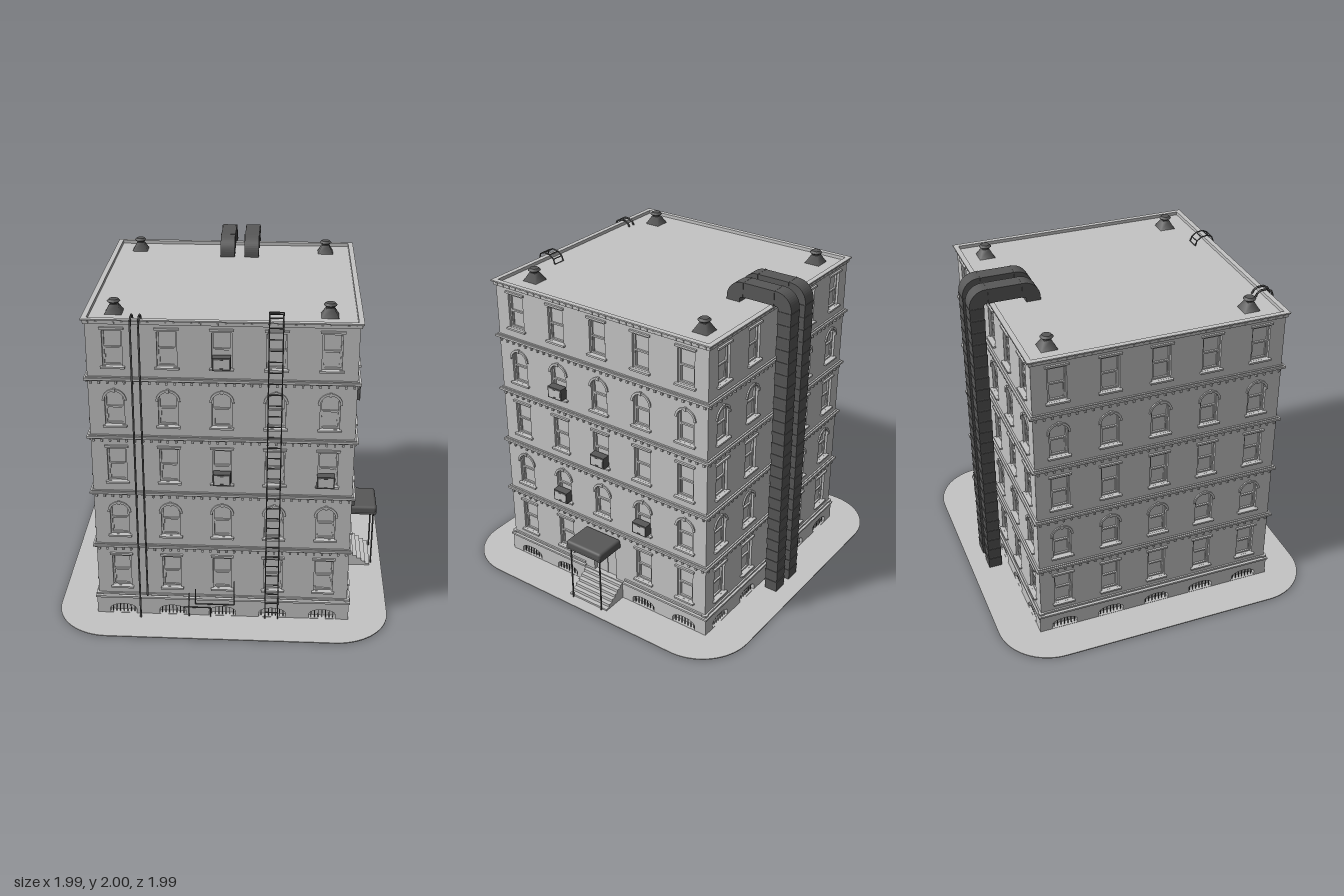
import * as THREE from 'three';
import { mergeGeometries } from 'three/addons/utils/BufferGeometryUtils.js';
import { RoundedBoxGeometry } from 'three/addons/geometries/RoundedBoxGeometry.js';

const W = 0.745;            // half width of the walls
const FLOOR = 0.3565;       // storey height
const COLUMNS = [-0.6, -0.3, 0, 0.3, 0.6];

const box = (w, h, d, x, y, z) => new THREE.BoxGeometry(w, h, d).translate(x, y, z);
const extrude = (shape, depth, z = 0, curveSegments = 10) =>
  new THREE.ExtrudeGeometry(shape, { depth, bevelEnabled: false, curveSegments }).translate(0, 0, z);
const tube = (points, r) => {
  const path = new THREE.CurvePath();
  for (let i = 1; i < points.length; i++)
    path.add(new THREE.LineCurve3(new THREE.Vector3(...points[i - 1]), new THREE.Vector3(...points[i])));
  return mergeGeometries(path.curves.map(c => new THREE.TubeGeometry(c, 1, r, 6)));
};

// Outline of an opening: rectangle, or rectangle with an arched head
function opening(T, x, y0, y1, w, rise = 0) {
  const s = new T();
  s.moveTo(x - w / 2, y0);
  s.lineTo(x + w / 2, y0);
  s.lineTo(x + w / 2, y1 - rise);
  if (rise) s.absellipse(x, y1 - rise, w / 2, rise, 0, Math.PI, false);
  else s.lineTo(x - w / 2, y1);
  s.closePath();
  return s;
}

function rect(x0, y0, x1, y1) {
  const s = new THREE.Shape();
  s.moveTo(x0, y0); s.lineTo(x1, y0); s.lineTo(x1, y1); s.lineTo(x0, y1); s.closePath();
  return s;
}

export function createModel() {
  const model = new THREE.Group();
  const concrete = new THREE.MeshStandardMaterial({ color: 0xc4c4c4, side: THREE.DoubleSide });
  concrete.name = 'concrete grey';
  const metal = new THREE.MeshStandardMaterial({ color: 0x585858, side: THREE.DoubleSide });
  metal.name = 'dark metal';

  const add = (name, geos, material, parent = model) => {
    const flat = geos.map(g => (g.index ? g.toNonIndexed() : g));
    const mesh = new THREE.Mesh(mergeGeometries(flat), material);
    mesh.name = name;
    parent.add(mesh);
    return mesh;
  };

  // One facade, built facing +z and turned into place
  function facade(name, angle, hasDoor) {
    const side = new THREE.Group();
    side.name = name;
    side.rotation.y = angle;
    model.add(side);
    const wall = rect(-W, 0, W, 1.88), plinth = rect(-0.757, 0, 0.757, 0.118);
    const panes = [], frames = [], trim = [], bars = [], bands = [], dentils = [];

    for (const x of COLUMNS) {
      // basement arches with bars
      if (!(hasDoor && x === 0)) {
        wall.holes.push(opening(THREE.Path, x, 0.008, 0.07, 0.16, 0.035));
        plinth.holes.push(opening(THREE.Path, x, 0.008, 0.07, 0.16, 0.035));
        panes.push(box(0.18, 0.08, 0.004, x, 0.042, 0.718));
        for (let i = -3; i <= 3; i++) {
          const h = 0.062 - Math.abs(i) * 0.004;
          bars.push(box(0.005, h, 0.005, x + i * 0.022, 0.008 + h / 2, 0.742));
        }
      }
      for (let f = 0; f < 5; f++) {
        if (hasDoor && x === 0 && f === 0) {
          wall.holes.push(opening(THREE.Path, 0, 0.115, 0.375, 0.17));
          panes.push(box(0.19, 0.27, 0.004, 0, 0.245, 0.718));
          frames.push(box(0.008, 0.26, 0.006, 0, 0.245, 0.722), box(0.17, 0.008, 0.006, 0, 0.32, 0.722));
          continue;
        }
        const y = 0.197 + f * FLOOR, arched = f % 2 === 1;
        wall.holes.push(opening(THREE.Path, x, y, y + 0.205, 0.11, arched ? 0.055 : 0));
        panes.push(box(0.125, 0.22, 0.004, x, y + 0.1025, 0.718));
        // sashes: tall outer frame, mid rail and lower sash
        for (const s of [-1, 1]) {
          frames.push(box(0.009, 0.2, 0.012, x + s * 0.05, y + 0.1, 0.725));
          frames.push(box(0.006, 0.1, 0.006, x + s * 0.042, y + 0.05, 0.723));
        }
        frames.push(box(0.1, 0.01, 0.012, x, y + 0.105, 0.725));
        frames.push(box(0.1, 0.009, 0.012, x, y + 0.005, 0.725));
        // sill and head
        trim.push(box(0.135, 0.011, 0.03, x, y - 0.006, W + 0.003));
        if (arched) {
          const ring = new THREE.Shape();
          ring.absarc(x, y + 0.15, 0.069, 0, Math.PI, false);
          ring.absarc(x, y + 0.15, 0.056, Math.PI, 0, true);
          trim.push(extrude(ring, 0.008, W));
          trim.push(box(0.014, 0.022, 0.014, x, y + 0.213, W + 0.005));
        } else trim.push(box(0.135, 0.012, 0.022, x, y + 0.222, W + 0.001));
      }
    }

    // storey bands with dentils
    for (let f = 1; f <= 4; f++) {
      const y = 0.122 + f * FLOOR;
      bands.push(box(1.53, 0.013, 0.035, 0, y, 0.7475), box(1.51, 0.026, 0.025, 0, y, 0.7425));
    }
    for (let f = 1; f <= 5; f++)
      for (let i = 0; i < 32; i++)
        dentils.push(box(0.012, 0.014, 0.014, -0.728 + i * 1.456 / 31, 0.1 + f * FLOOR - (f === 5 ? 0.004 : 0), W + 0.006));
    // base mouldings, parted at the entrance
    const runs = hasDoor ? [[-0.765, -0.15], [0.15, 0.765]] : [[-0.765, 0.765]];
    for (const [a, b] of runs) {
      bands.push(box(b - a, 0.012, 0.035, (a + b) / 2, 0.122, 0.7475));
      bands.push(box(b - a - 0.01, 0.012, 0.025, (a + b) / 2, 0.141, 0.7425));
    }
    // cornice, forming the low parapet
    bands.push(box(1.53, 0.008, 0.03, 0, 1.896, 0.75), box(1.51, 0.025, 0.02, 0, 1.882, 0.745));

    add('wall', [extrude(wall, 0.025, W - 0.025)], concrete, side);
    add('plinth', [extrude(plinth, 0.012, W)], concrete, side);
    add('windowPanes', panes, concrete, side);
    add('windowFrames', frames, concrete, side);
    add('windowTrim', trim, concrete, side);
    add('storeyBands', bands, concrete, side);
    add('dentils', dentils, concrete, side);
    add('basementBars', bars, metal, side);
    return side;
  }

  const front = facade('frontFacade', 0, false);
  const right = facade('entranceFacade', Math.PI / 2, true);
  facade('backFacade', Math.PI, false);
  facade('sideFacade', -Math.PI / 2, false);

  // Air conditioners: dark case with a pale grille panel
  function airConditioner(parent, x, y) {
    add('airConditionerCase', [box(0.1, 0.072, 0.05, x, y, 0.763)], metal, parent);
    add('airConditionerPanel', [box(0.084, 0.056, 0.004, x, y, 0.788)], concrete, parent);
    add('airConditionerClips', [-1, 1].map(s => box(0.02, 0.005, 0.004, x, y + s * 0.025, 0.791)), metal, parent);
  }
  [[0, 1.662], [0, 0.95], [0.59, 0.95]].forEach(p => airConditioner(front, ...p));
  [[-0.3, 1.308], [0, 0.952], [-0.3, 0.595], [0.3, 0.595]].forEach(p => airConditioner(right, ...p));

  // Pavement ring, open under the building
  const pave = new THREE.Shape(), c = 0.67, r = 0.325;
  [[c, c], [-c, c], [-c, -c], [c, -c]].forEach(([x, y], i) =>
    pave.absarc(x, y, r, i * Math.PI / 2, (i + 1) * Math.PI / 2, false));
  pave.holes.push(opening(THREE.Path, 0, -0.72, 0.72, 1.44));
  add('pavement', [extrude(pave, 0.006, 0, 12).rotateX(-Math.PI / 2)], concrete);

  add('roof', [box(1.48, 0.012, 1.48, 0, 1.874, 0)], concrete);

  // Roof vents: tapered base, neck and cap
  for (const x of [-0.605, 0.585]) for (const z of [-0.605, 0.585]) {
    const base = new THREE.CylinderGeometry(0.03, 0.068, 0.05, 4).rotateY(Math.PI / 4).translate(x, 1.905, z);
    const neck = new THREE.CylinderGeometry(0.02, 0.02, 0.02, 12).translate(x, 1.935, z);
    const cap = new THREE.CylinderGeometry(0.026, 0.038, 0.012, 12).translate(x, 1.951, z);
    const rim = new THREE.CylinderGeometry(0.038, 0.028, 0.008, 12).translate(x, 1.941, z);
    add('roofVent', [base, neck, rim, cap], metal);
  }

  // Twin ventilation ducts up the back and over the roof edge
  const duct = new THREE.Shape();
  duct.moveTo(0.803, 0); duct.lineTo(0.882, 0);
  duct.absarc(0.785, 1.9, 0.1, 0, Math.PI / 2, false);
  duct.absarc(0.568, 1.9, 0.1, Math.PI / 2, Math.PI, false);
  duct.lineTo(0.468, 1.87); duct.lineTo(0.553, 1.87); duct.lineTo(0.553, 1.9);
  duct.quadraticCurveTo(0.555, 1.913, 0.575, 1.913);
  duct.lineTo(0.78, 1.913);
  duct.quadraticCurveTo(0.803, 1.913, 0.803, 1.89);
  duct.closePath();
  for (const x of [-0.036, 0.116]) {
    const parts = [extrude(duct, 0.09, -0.045, 6).rotateY(Math.PI / 2).translate(x, 0, 0)];
    for (let i = 0; i < 25; i++) // flared sections
      parts.push(new THREE.CylinderGeometry(0.0685, 0.063, 0.074, 4).rotateY(Math.PI / 4)
        .scale(1, 1, 0.9).translate(x, 0.04 + i * 0.0755, -0.843));
    for (const z of [-0.77, -0.57]) parts.push(box(0.097, 0.09, 0.01, x, 1.956, z));
    const mesh = add('ventilationDuct', parts, metal);
    mesh.geometry.computeVertexNormals();
  }

  // Ladder hooked over the front roof edge
  const ladder = [];
  const hook = [[0.772, 0], [0.772, 1.89], [0.76, 1.925], [0.73, 1.938], [0.69, 1.932], [0.66, 1.91], [0.65, 1.88]];
  for (const x of [0.257, 0.333]) ladder.push(tube(hook.map(([z, y]) => [x, y, z]), 0.004));
  for (let y = 0.05; y < 1.9; y += 0.065) ladder.push(tube([[0.257, y, 0.772], [0.333, y, 0.772]], 0.0035));
  for (const [z, y] of hook.slice(2)) ladder.push(tube([[0.257, y, z], [0.333, y, z]], 0.0035));
  add('ladder', ladder, metal);

  // Cable pipes on the front, bent over the roof edge
  for (const [x, y0] of [[-0.49, 0], [-0.445, 0.16]])
    add('wallPipe', [tube([[x, y0, 0.797], [x, 1.87, 0.797], [x, 1.9, 0.785], [x, 1.917, 0.755],
      [x, 1.915, 0.72], [x, 1.9, 0.695], [x, 1.875, 0.685]], 0.006)], metal);

  // Small service pipes near the ground
  add('servicePipes', [
    [[-0.2, 0], [-0.2, 0.17]],
    [[-0.16, 0.2], [-0.16, 0.095], [0.07, 0.095], [0.07, 0.26]],
    [[-0.235, 0.07], [-0.07, 0.07], [-0.07, 0]],
  ].map(line => tube(line.map(([x, y]) => [x, y, 0.772]), 0.0035)), metal);

  // Entrance steps, canopy and posts
  const steps = [];
  for (let i = 0; i < 6; i++) {
    const h = 0.112 - i * 0.019, x1 = 0.78 + i * 0.028;
    steps.push(box(x1 - 0.745, h, 0.285, (x1 + 0.745) / 2, h / 2, 0));
  }
  add('entranceSteps', steps, concrete);
  const canopy = new RoundedBoxGeometry(0.2, 0.056, 0.265, 3, 0.018).translate(0.848, 0.404, 0);
  add('canopy', [canopy, box(0.196, 0.02, 0.261, 0.848, 0.386, 0)], metal);
  add('canopyPosts', [-0.11, 0.11].map(z =>
    new THREE.CylinderGeometry(0.005, 0.005, 0.38, 8).translate(0.928, 0.19, z)), metal);

  return model;
}
